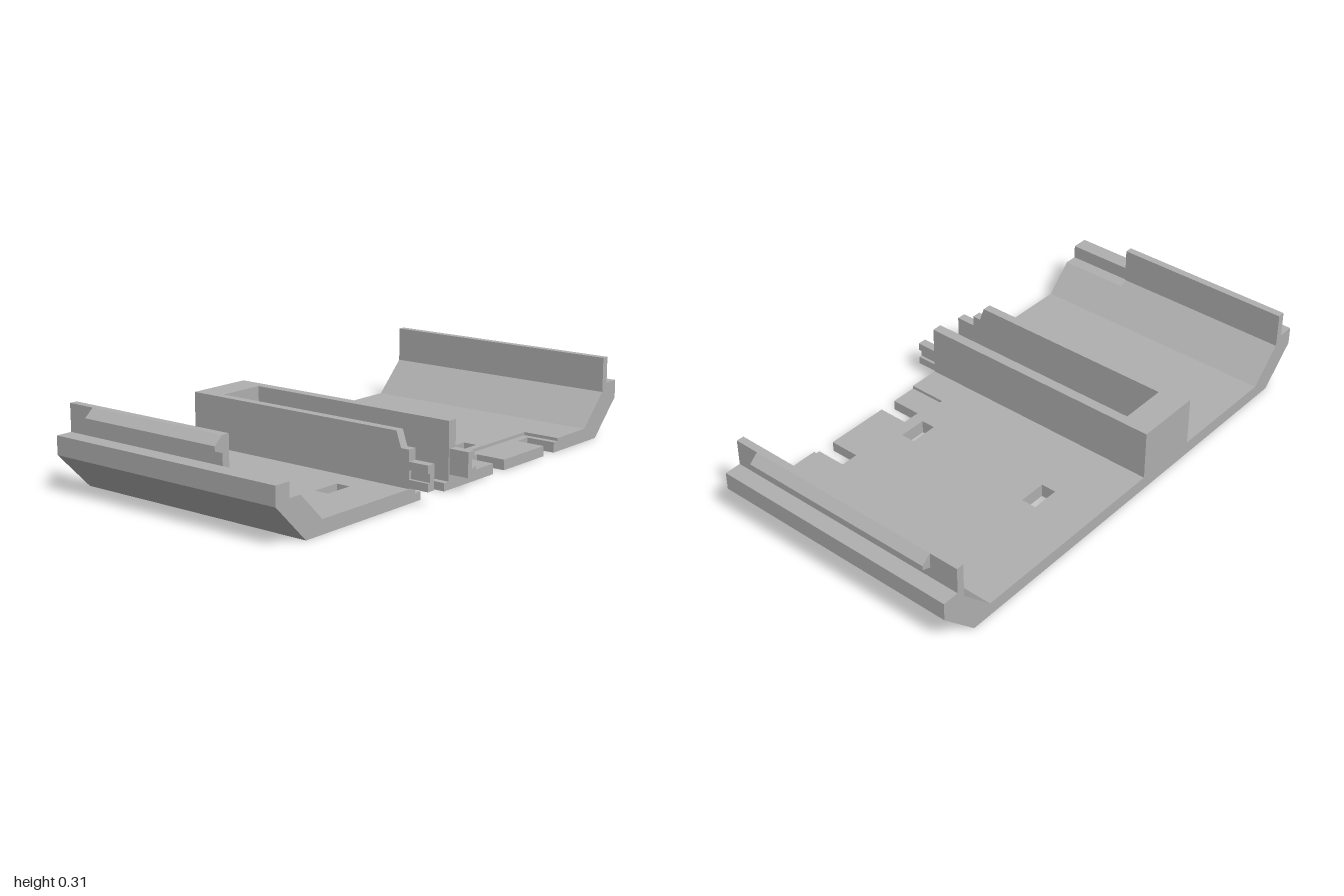
import * as THREE from 'three';

const BACK = -0.545, FRONT = 0.465;

export function createModel() {
  const model = new THREE.Group();
  model.name = 'snapOnTray';
  const grey = new THREE.MeshStandardMaterial({ color: 0xb0b0b0 });
  grey.name = 'plainGrey';

  const add = (name, geometry) => {
    const mesh = new THREE.Mesh(geometry, grey);
    mesh.name = name;
    model.add(mesh);
    return mesh;
  };
  const toShape = (pts) => new THREE.Shape(pts.map(([x, y]) => new THREE.Vector2(x, y)));
  const extrude = (shape, depth) =>
    new THREE.ExtrudeGeometry(shape, { depth, bevelEnabled: false });

  // Prism along z from an (x, y) profile
  const alongZ = (name, pts, z0, z1) =>
    add(name, extrude(toShape(pts), z1 - z0).translate(0, 0, z0));
  // Prism along x from a (z, y) profile
  const alongX = (name, pts, x0, x1) =>
    add(name, extrude(toShape(pts.map(([z, y]) => [-z, y])), x1 - x0)
      .rotateY(Math.PI / 2).translate(x0, 0, 0));
  const box = (name, x0, x1, y0, y1, z0, z1) =>
    add(name, new THREE.BoxGeometry(x1 - x0, y1 - y0, z1 - z0)
      .translate((x0 + x1) / 2, (y0 + y1) / 2, (z0 + z1) / 2));

  // Floor in layers: a narrow round-ended slot below, a wide channel and shallow pocket above
  const slotArc = [];
  for (let i = 0; i <= 20; i++) {
    const a = Math.PI * (1 + i / 20);
    slotArc.push([-0.1975 + 0.0675 * Math.cos(a), -0.376 + 0.0675 * Math.sin(a)]);
  }
  const narrowSlot = [[-0.265, FRONT], ...slotArc, [-0.13, FRONT]];
  const wideSlot = [[-0.295, FRONT], [-0.295, -0.43], [-0.105, -0.43], [-0.105, FRONT]];
  const cut = (x0, x1, z) => [[x0, FRONT], [x0, z], [x1, z], [x1, FRONT]];
  const notches = [...cut(0.165, 0.235, 0.345), ...cut(0.495, 0.565, 0.345)];
  const pocket = cut(0.06, 0.59, 0.315);

  const floorLayer = (name, y0, y1, slot, frontCuts) => {
    const shape = toShape([
      [-0.78, BACK], [-0.78, FRONT], ...slot, ...frontCuts, [0.78, FRONT], [0.78, BACK],
    ].map(([x, z]) => [x, -z]));
    for (const [x0, x1] of [[-0.545, -0.43], [0.2, 0.31]]) {
      for (const [z0, z1] of [[-0.35, -0.29], [0.23, 0.287]]) {
        shape.holes.push(toShape([[x0, -z0], [x1, -z0], [x1, -z1], [x0, -z1]]));
      }
    }
    add(name, extrude(shape, y1 - y0).rotateX(-Math.PI / 2).translate(0, y0, 0));
  };
  floorLayer('floorBottom', 0, 0.03, narrowSlot, notches);
  floorLayer('floorMiddle', 0.03, 0.04, wideSlot, notches);
  floorLayer('floorTop', 0.04, 0.052, wideSlot, pocket);

  // Sloped side walls with an outer shoulder and a thin upright
  const mirror = (pts, s) => pts.map(([x, y]) => [s * x, y]);
  const outer = [[0.78, 0], [0.86, 0], [1, 0.14], [1, 0.21], [0.935, 0.21]];
  const wall = [...outer, [0.935, 0.313], [0.905, 0.313], [0.905, 0.177], [0.78, 0.052]];
  const lowWall = [...outer, [0.935, 0.156], [0.884, 0.156], [0.78, 0.052]];
  const lip = [[0.935, 0.313], [0.97, 0.282], [0.97, 0.265], [0.935, 0.253]];
  alongZ('leftWall', wall, BACK, FRONT);
  alongZ('leftSnapLip', lip, -0.43, 0.365);
  alongZ('rightWall', mirror(wall, -1), BACK, 0.18);
  alongZ('rightWallLowered', mirror(lowWall, -1), 0.18, FRONT);
  alongZ('rightSnapLip', mirror(lip, -1), -0.43, 0.18);

  // Central channel: closed back block and two rails
  box('channelBack', -0.33, -0.065, 0.052, 0.248, BACK, -0.43);
  alongX('channelRailRight', [
    [-0.43, 0.052], [FRONT, 0.052], [FRONT, 0.19], [0.43, 0.19], [0.41, 0.248], [-0.43, 0.248],
  ], -0.33, -0.295);
  alongX('channelRailLeft', [
    [-0.43, 0.052], [FRONT, 0.052], [FRONT, 0.248], [-0.43, 0.248],
  ], -0.105, -0.065);

  // Grooved prongs reaching past the front edge
  const prong = [
    [0, 0.055], [0.035, 0.055], [0.035, 0.085], [0.023, 0.085],
    [0.023, 0.118], [0.035, 0.118], [0.035, 0.148], [0, 0.148],
  ];
  for (const [name, s, x] of [['prongLeft', 1, -0.1], ['prongRight', -1, -0.295]]) {
    alongZ(name, prong.map(([px, y]) => [x + s * px, y]), FRONT, 0.545);
  }
  return model;
}
